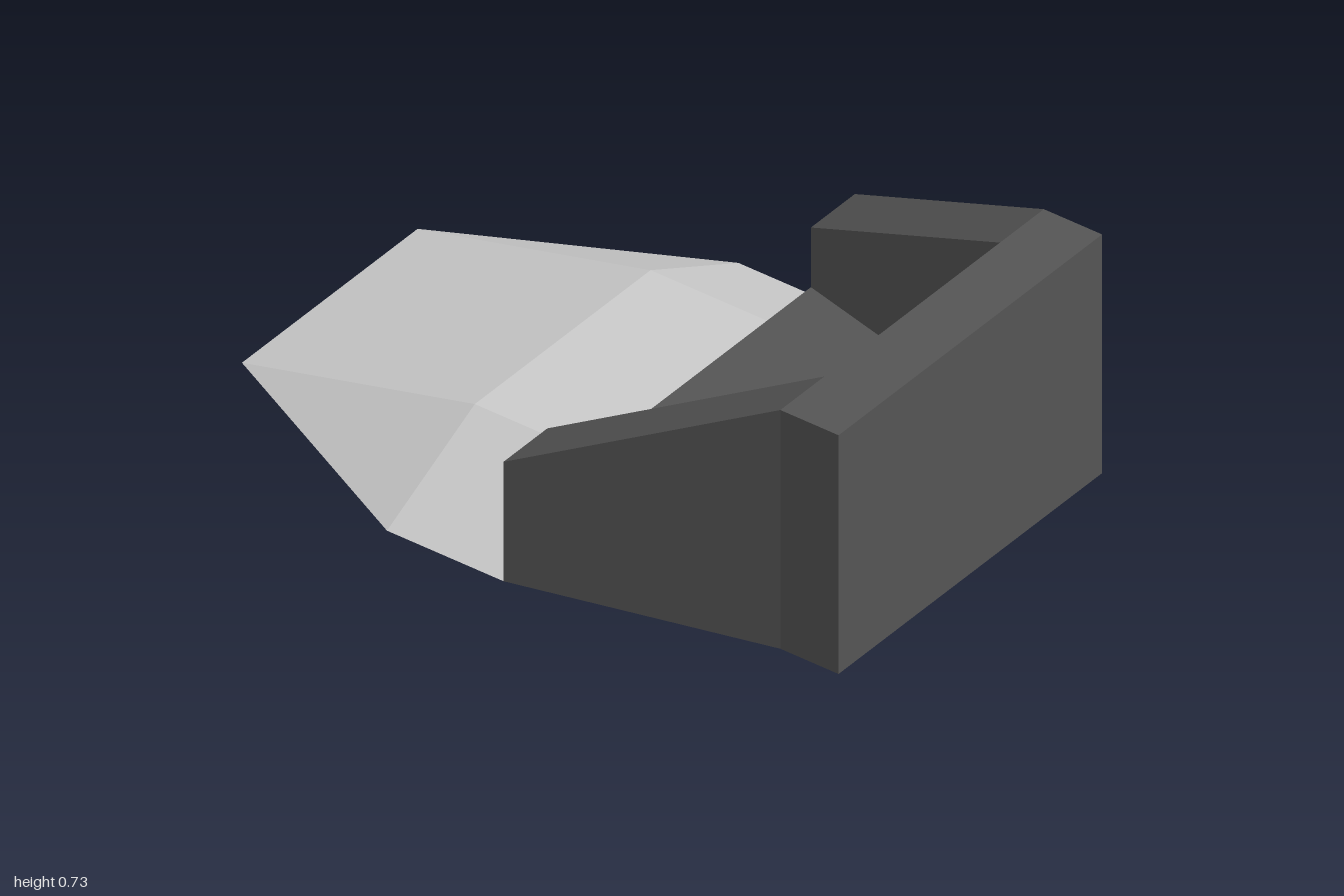
import * as THREE from 'three';

const U = 2 / 11; // design unit: the model is 11 units long

// Flat-sided mesh from convex faces; "sides" are built at +x and mirrored to -x.
function facetMesh(name, material, centre, sides) {
  const mirrored = sides.map((f) => f.map(([x, y, z]) => [-x, y, z]).reverse());
  const pos = [];
  for (const f of [...centre, ...sides, ...mirrored]) {
    for (let i = 1; i < f.length - 1; i++) pos.push(...f[0], ...f[i], ...f[i + 1]);
  }
  const g = new THREE.BufferGeometry();
  g.setAttribute('position', new THREE.Float32BufferAttribute(pos, 3));
  g.scale(U, U, U);
  g.computeVertexNormals();
  const mesh = new THREE.Mesh(g, material);
  mesh.name = name;
  return mesh;
}

// Face symmetric about x = 0, from its +x edge points (mirror points follow in reverse).
const span = (...pts) => [...pts, ...pts.map(([x, y, z]) => [-x, y, z]).reverse()];

export function createModel() {
  const darkGrey = new THREE.MeshStandardMaterial({ color: 0x555555 });
  darkGrey.name = 'darkGrey';
  const lightGrey = new THREE.MeshStandardMaterial({ color: 0xcccccc });
  lightGrey.name = 'lightGrey';

  // Shell corners: outer wall at front, bend and rear end, then the inner wall
  const frontLow = [3, 0, 5.5], frontHigh = [3, 4, 5.5];
  const bendLow = [3, 0, 4.5], bendHigh = [3, 4, 4.5];
  const endLow = [4, 0, 0.5], endMid = [4, 1, 0.5], endHigh = [4, 2, 0.5];
  const innerLow = [2, 1, 4.5], innerHigh = [2, 4, 4.5];
  const mouthLow = [3, 1, 0.5], mouthHigh = [3, 2, 0.5];

  const shell = facetMesh('openShell', darkGrey, [
    span(frontLow, frontHigh), // front wall
    span(frontHigh, bendHigh), // top rim
    span(innerHigh, innerLow), // inner front wall
    span(innerLow, mouthLow), // floor
    span(endMid, endLow), // sill
    span(endLow, bendLow, frontLow), // underside
  ], [
    [frontLow, bendLow, bendHigh, frontHigh], // straight outer wall
    [bendLow, endLow, endHigh, bendHigh], // flared outer wall
    [bendHigh, endHigh, mouthHigh, innerHigh], // sloping rim
    [endMid, mouthLow, mouthHigh, endHigh], // wall end
    [mouthLow, innerLow, innerHigh, mouthHigh], // inner wall
  ]);

  // Ramp corners: ridge on top, skirt on the ground, tip at the rear
  const ridgeFront = [2, 1, 0.5], ridgeRear = [2, 1, -1.5];
  const skirtFront = [4, 0, 0.5], skirtRear = [4, 0, -1.5];
  const tip = [2, 0, -5.5];

  const ramp = facetMesh('rearRamp', lightGrey, [
    span(ridgeFront, ridgeRear), // flat top
    span(ridgeRear, tip), // rear slope
    span(tip, skirtRear, skirtFront), // underside
  ], [
    [ridgeFront, skirtFront, skirtRear, ridgeRear], // side slope
    [ridgeRear, skirtRear, tip], // corner facet
  ]);

  const group = new THREE.Group();
  group.name = 'shellWithRamp';
  group.add(shell, ramp);
  return group;
}
